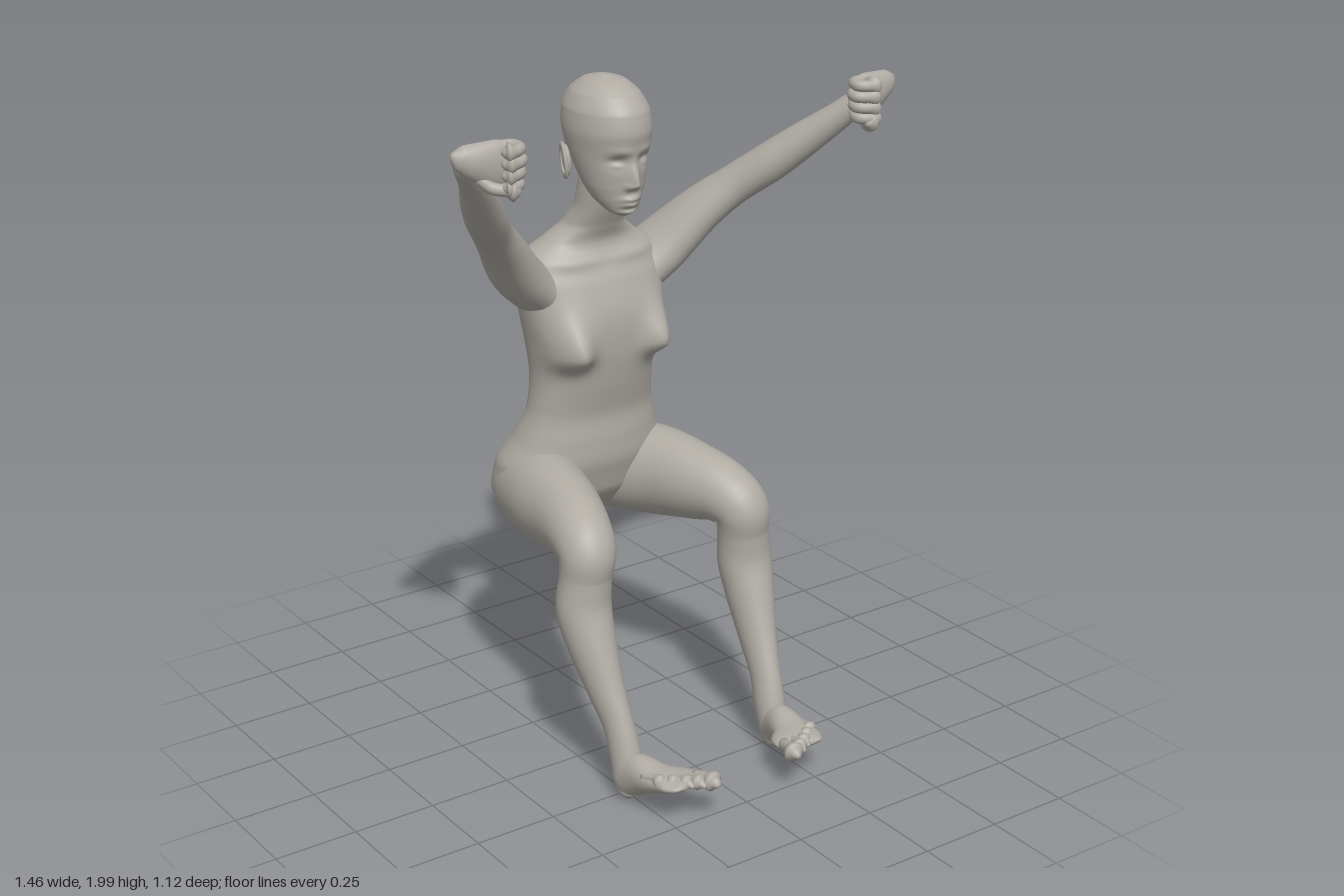
import * as THREE from 'three';

const skin = new THREE.MeshStandardMaterial({ color: 0xb0aca4 });
skin.name = 'warm grey clay';

// Smooth closed skin through elliptical sections [x, y, z, halfWidth, halfDepth].
// side: direction of the half width; up: fixed section normal; warp: moves each point.
function loft(rows, { side = [1, 0, 0], up = null, seg = 32, steps = 6, warp = null, power = 1 } = {}) {
  const centre = new THREE.CatmullRomCurve3(rows.map(r => new THREE.Vector3(r[0], r[1], r[2])));
  const radius = new THREE.CatmullRomCurve3(rows.map(r => new THREE.Vector3(r[3], r[4], 0)));
  const ref = new THREE.Vector3(...side);
  const n = (rows.length - 1) * steps;
  const pos = [], index = [];
  const bend = v => Math.sign(v) * Math.abs(v) ** power;
  for (let i = 0; i <= n; i++) {
    const c = centre.getPoint(i / n), r = radius.getPoint(i / n);
    const t = up ? new THREE.Vector3(...up) : centre.getTangent(i / n);
    const s = ref.clone().addScaledVector(t, -ref.dot(t)).normalize();
    const d = t.clone().cross(s);
    for (let j = 0; j < seg; j++) {
      const a = (j / seg) * Math.PI * 2;
      const p = c.clone()
        .addScaledVector(s, bend(Math.cos(a)) * Math.max(r.x, 0.0005))
        .addScaledVector(d, bend(Math.sin(a)) * Math.max(r.y, 0.0005));
      if (warp) warp(p, c);
      pos.push(p.x, p.y, p.z);
      if (i < n) {
        const k = i * seg + j, l = i * seg + (j + 1) % seg;
        index.push(k, l, k + seg, l, l + seg, k + seg);
      }
    }
  }
  // Close both ends
  for (const [ring, flip] of [[0, true], [n, false]]) {
    const c = centre.getPoint(ring / n), m = pos.length / 3;
    pos.push(c.x, c.y, c.z);
    for (let j = 0; j < seg; j++) {
      const k = ring * seg + j, l = ring * seg + (j + 1) % seg;
      index.push(m, flip ? l : k, flip ? k : l);
    }
  }
  const g = new THREE.BufferGeometry();
  g.setAttribute('position', new THREE.Float32BufferAttribute(pos, 3));
  g.setIndex(index);
  g.computeVertexNormals();
  return g;
}

// Copy of a geometry reflected in x
function mirrored(geo) {
  const g = geo.clone(), p = g.attributes.position, ix = g.index;
  for (let i = 0; i < p.count; i++) p.setX(i, -p.getX(i));
  for (let i = 0; i < ix.count; i += 3) {
    const a = ix.getX(i);
    ix.setX(i, ix.getX(i + 1));
    ix.setX(i + 1, a);
  }
  g.computeVertexNormals();
  return g;
}

const bump = (x, y, x0, y0, sx, sy) => Math.exp(-(((x - x0) / sx) ** 2 + ((y - y0) / sy) ** 2) / 2);

// Chest, spine and seat modelling
function shapeTorso(p, c) {
  const x = Math.abs(p.x);
  const facing = p.z - c.z;
  if (facing > 0) {
    const w = Math.min(1, facing / 0.05);
    p.z += w * 0.075 * bump(x, p.y, 0.15, 1.2, 0.04, p.y < 1.2 ? 0.032 : 0.065);
    p.z += w * 0.01 * bump(x, p.y, 0.1, 1.46, 0.07, 0.015);
  } else {
    const w = Math.min(1, -facing / 0.05);
    p.z -= w * 0.022 * bump(x, p.y, 0.11, 0.72, 0.06, 0.08);
    p.z += w * 0.04 * bump(x, p.y, 0, 0.7, 0.014, 0.08);
    p.z += w * 0.012 * bump(x, p.y, 0, 1.2, 0.025, 0.2);
    p.z -= w * 0.012 * bump(x, p.y, 0.13, 1.38, 0.05, 0.07);
  }
}

// Brow, eye sockets, nose, lips and chin
function shapeFace(p, c) {
  if (p.z < c.z) return;
  const x = Math.abs(p.x), y = p.y;
  const w = Math.min(1, (p.z - c.z) / 0.04);
  p.z += w * (
    0.006 * bump(x, y, 0.04, 1.808, 0.025, 0.01)
    - 0.016 * bump(x, y, 0.043, 1.776, 0.018, 0.014)
    + 0.008 * bump(x, y, 0.045, 1.768, 0.013, 0.007)
    + 0.03 * bump(x, y, 0, 1.712, 0.011, y < 1.712 ? 0.009 : 0.035)
    + 0.01 * bump(x, y, 0.014, 1.704, 0.007, 0.007)
    + 0.012 * bump(x, y, 0, 1.667, 0.02, 0.006)
    + 0.012 * bump(x, y, 0, 1.65, 0.017, 0.006)
    - 0.004 * bump(x, y, 0, 1.637, 0.02, 0.005)
    + 0.006 * bump(x, y, 0, 1.622, 0.02, 0.009));
}

export function createModel() {
  const model = new THREE.Group();
  model.name = 'figure';
  const add = (name, geo) => {
    const m = new THREE.Mesh(geo, skin);
    m.name = name;
    model.add(m);
  };
  const pair = (name, geo) => {
    add('left' + name, geo);
    add('right' + name, mirrored(geo));
  };

  // Torso and neck
  add('torso', loft([
    [0, 0.595, -0.40, 0.06, 0.04], [0, 0.62, -0.41, 0.17, 0.10], [0, 0.68, -0.395, 0.245, 0.142],
    [0, 0.74, -0.38, 0.275, 0.168], [0, 0.82, -0.355, 0.272, 0.168], [0, 0.90, -0.328, 0.235, 0.148],
    [0, 1.00, -0.30, 0.203, 0.12], [0, 1.10, -0.288, 0.195, 0.132], [0, 1.20, -0.285, 0.207, 0.145],
    [0, 1.30, -0.288, 0.225, 0.148], [0, 1.40, -0.30, 0.24, 0.13], [0, 1.46, -0.31, 0.22, 0.11],
    [0, 1.51, -0.30, 0.15, 0.085], [0, 1.56, -0.272, 0.093, 0.075], [0, 1.62, -0.237, 0.076, 0.068],
    [0, 1.70, -0.215, 0.072, 0.068], [0, 1.76, -0.21, 0.05, 0.05],
  ], { side: [1, 0, 0], up: [0, 1, 0], seg: 96, steps: 8, warp: shapeTorso, power: 0.92 }));

  // Head
  add('head', loft([
    [0, 1.611, -0.12, 0.015, 0.015], [0, 1.625, -0.125, 0.042, 0.04], [0, 1.66, -0.152, 0.069, 0.077],
    [0, 1.70, -0.168, 0.087, 0.098], [0, 1.75, -0.182, 0.10, 0.118], [0, 1.80, -0.195, 0.11, 0.137],
    [0, 1.86, -0.199, 0.117, 0.153], [0, 1.91, -0.203, 0.112, 0.148], [0, 1.955, -0.207, 0.09, 0.118],
    [0, 1.985, -0.208, 0.056, 0.072], [0, 1.998, -0.208, 0.015, 0.018],
  ], { up: [0, 1, 0], seg: 112, steps: 12, warp: shapeFace }));

  // Ears: a thin shell with a raised rim
  const place = g => g.rotateY(0.35).rotateX(-0.2).translate(0.118, 1.765, -0.225);
  pair('Ear', place(new THREE.SphereGeometry(1, 20, 14).scale(0.012, 0.045, 0.026)));
  pair('EarRim', place(new THREE.TorusGeometry(0.026, 0.006, 10, 28)
    .rotateY(Math.PI / 2).scale(1, 1.7, 1).translate(0.008, 0, 0)));

  // Arms
  pair('Arm', loft([
    [0.10, 1.33, -0.31, 0.03, 0.04], [0.17, 1.37, -0.31, 0.073, 0.11], [0.245, 1.43, -0.285, 0.072, 0.105],
    [0.345, 1.55, -0.21, 0.061, 0.078], [0.42, 1.63, -0.14, 0.055, 0.062], [0.48, 1.695, -0.07, 0.057, 0.06],
    [0.54, 1.765, 0, 0.052, 0.053], [0.62, 1.865, 0.10, 0.04, 0.037], [0.672, 1.93, 0.153, 0.036, 0.03],
    [0.69, 1.955, 0.17, 0.015, 0.015],
  ], { side: [-0.74, 0.67, 0] }));

  // Hands folded inwards at the wrist, fingers curled forward
  pair('Hand', loft([
    [0.727, 1.967, 0.175, 0.008, 0.008], [0.705, 1.958, 0.178, 0.034, 0.025], [0.66, 1.943, 0.185, 0.052, 0.032],
    [0.61, 1.932, 0.193, 0.064, 0.028], [0.57, 1.93, 0.2, 0.056, 0.02], [0.553, 1.93, 0.2, 0.02, 0.008],
  ], { side: [0, 1, 0] }));
  const digit = (points, r) => loft(points.map((p, i) =>
    [...p, ...Array(2).fill(i === points.length - 1 ? r * 0.3 : r)]), { side: [0, 1, 0], seg: 14, steps: 5 });
  for (let i = 0; i < 4; i++) {
    const y = 1.976 - i * 0.031, x = 0.005 * Math.abs(i - 1);
    pair('Finger' + (i + 1), digit([
      [0.60, y, 0.195], [0.558 + x, y, 0.203], [0.552 + x, y - 0.002, 0.232],
      [0.578 + x, y - 0.004, 0.247], [0.603, y - 0.005, 0.24], [0.613, y - 0.005, 0.232],
    ], 0.0165));
  }
  pair('Thumb', digit([
    [0.655, 1.90, 0.19], [0.63, 1.875, 0.212], [0.602, 1.87, 0.235], [0.578, 1.867, 0.25], [0.568, 1.866, 0.253],
  ], 0.0165));

  // Legs: thigh, bent knee, calf and ankle in one skin
  pair('Leg', loft([
    [0.10, 0.72, -0.47, 0.04, 0.05], [0.145, 0.735, -0.36, 0.137, 0.14], [0.195, 0.748, -0.22, 0.122, 0.138],
    [0.225, 0.755, -0.08, 0.105, 0.12], [0.255, 0.748, 0.03, 0.092, 0.097], [0.272, 0.715, 0.092, 0.084, 0.085],
    [0.28, 0.64, 0.095, 0.077, 0.075], [0.287, 0.55, 0.095, 0.082, 0.078], [0.284, 0.45, 0.128, 0.071, 0.076],
    [0.275, 0.33, 0.182, 0.053, 0.064], [0.265, 0.22, 0.238, 0.042, 0.052], [0.261, 0.14, 0.265, 0.044, 0.05],
    [0.263, 0.07, 0.278, 0.04, 0.048], [0.265, 0.025, 0.283, 0.028, 0.034], [0.265, 0.008, 0.285, 0.008, 0.01],
  ], { seg: 40 }));

  // Feet resting on the heels, toes raised
  pair('Foot', loft([
    [0.268, 0.055, 0.24, 0.015, 0.02], [0.265, 0.073, 0.27, 0.04, 0.06], [0.255, 0.103, 0.33, 0.046, 0.06],
    [0.238, 0.115, 0.40, 0.056, 0.04], [0.215, 0.125, 0.45, 0.074, 0.026], [0.202, 0.13, 0.485, 0.068, 0.018],
    [0.195, 0.133, 0.50, 0.045, 0.008],
  ]));
  for (let i = 0; i < 5; i++) {
    const r = i === 0 ? 0.019 : 0.0145 - i * 0.0007;
    const x = 0.15 + i * 0.029 + (i ? 0.006 : 0), z = 0.552 - i * 0.018 - (i > 2 ? (i - 2) * 0.006 : 0);
    pair('Toe' + (i + 1), digit([
      [x + 0.01, 0.128, z - 0.085], [x, 0.138, z - 0.045], [x - 0.006, 0.136, z - 0.012], [x - 0.008, 0.133, z + 0.006],
    ], r));
  }
  return model;
}
